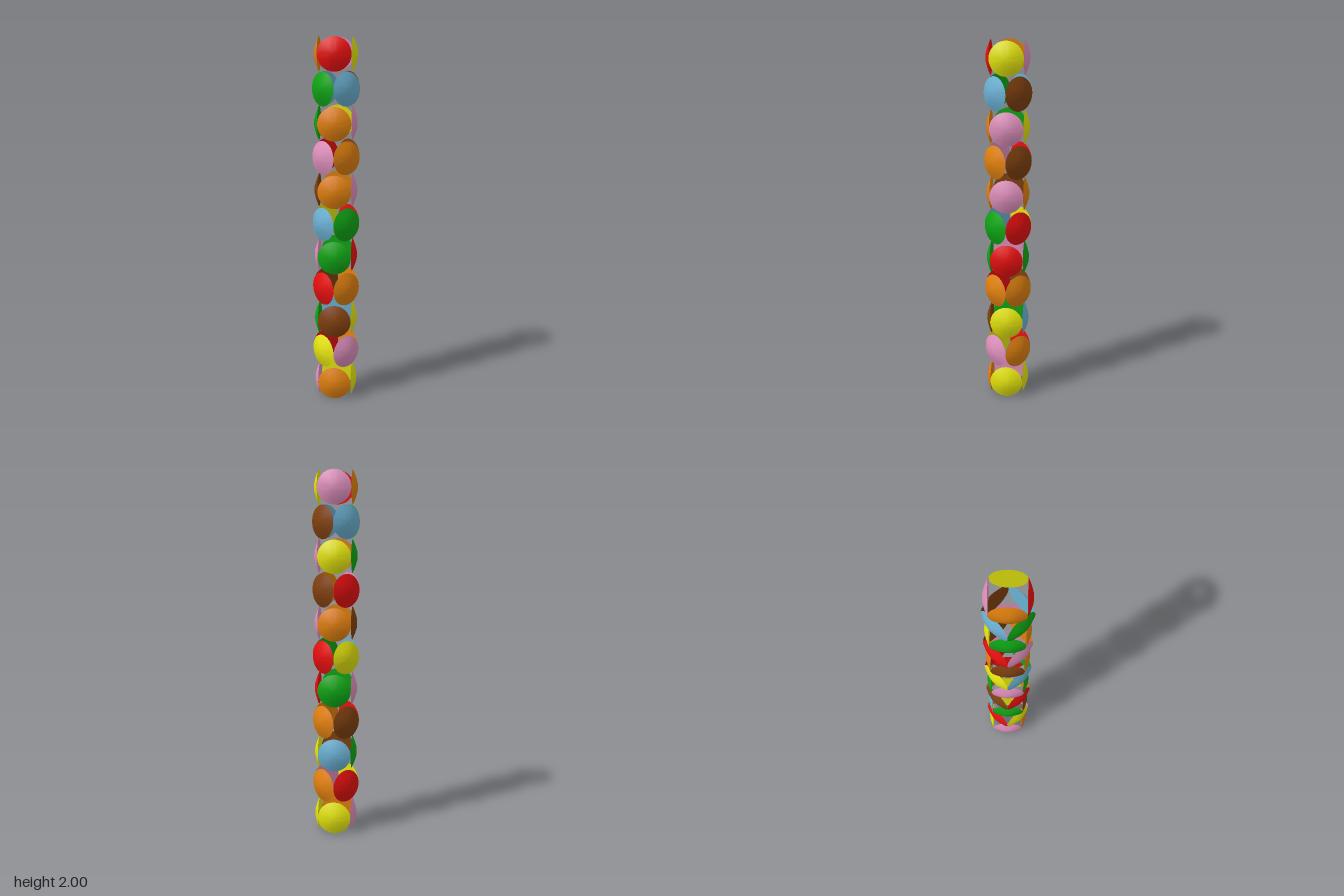
import * as THREE from 'three';
import { toCreasedNormals } from 'three/addons/utils/BufferGeometryUtils.js';

const PALETTE = {
  r: ['red', 0xe60f0f], o: ['orange', 0xe0800f], g: ['green', 0x0fa514], p: ['pink', 0xdf90bd],
  b: ['blue', 0x6bb0d2], y: ['yellow', 0xe4e40f], n: ['brown', 0x80400f],
};

// Rings from bottom to top; each lists its four buttons, turning from the front towards +x.
// Every other ring is turned by 45 degrees.
const RINGS = ['oyyp', 'ypor', 'nybg', 'roon', 'grgp', 'bgry', 'opon', 'ponr', 'opyg', 'gbnb', 'rypo'];
const R = 1 / RINGS.length; // button radius, rings touch each other

export function createModel() {
  const model = new THREE.Group();
  model.name = 'buttonTower';

  // Shallow domed button with a flat back, facing +z
  const profile = [[0, 0], [R, 0], [0.077, 0.006], [0.055, 0.015], [0.025, 0.024], [0, 0.026]];
  const lathe = new THREE.LatheGeometry(profile.map(([x, y]) => new THREE.Vector2(x, y)), 40);
  lathe.rotateX(Math.PI / 2);
  const buttonGeometry = toCreasedNormals(lathe, 0.8);

  const materials = {};
  for (const key in PALETTE) {
    materials[key] = new THREE.MeshStandardMaterial({ color: PALETTE[key][1] });
  }

  // Four buttons stand in a square to make each ring
  RINGS.forEach((colors, row) => {
    const ring = new THREE.Group();
    ring.name = `ring${row + 1}`;
    ring.position.y = R * (2 * row + 1);
    ring.rotation.y = row % 2 === 0 ? Math.PI / 4 : 0;
    [...colors].forEach((key, i) => {
      const angle = (i * Math.PI) / 2;
      const button = new THREE.Mesh(buttonGeometry, materials[key]);
      button.name = `${PALETTE[key][0]}Button`;
      button.position.set(Math.sin(angle) * R, 0, Math.cos(angle) * R);
      button.rotation.y = angle;
      ring.add(button);
    });
    model.add(ring);
  });
  return model;
}
